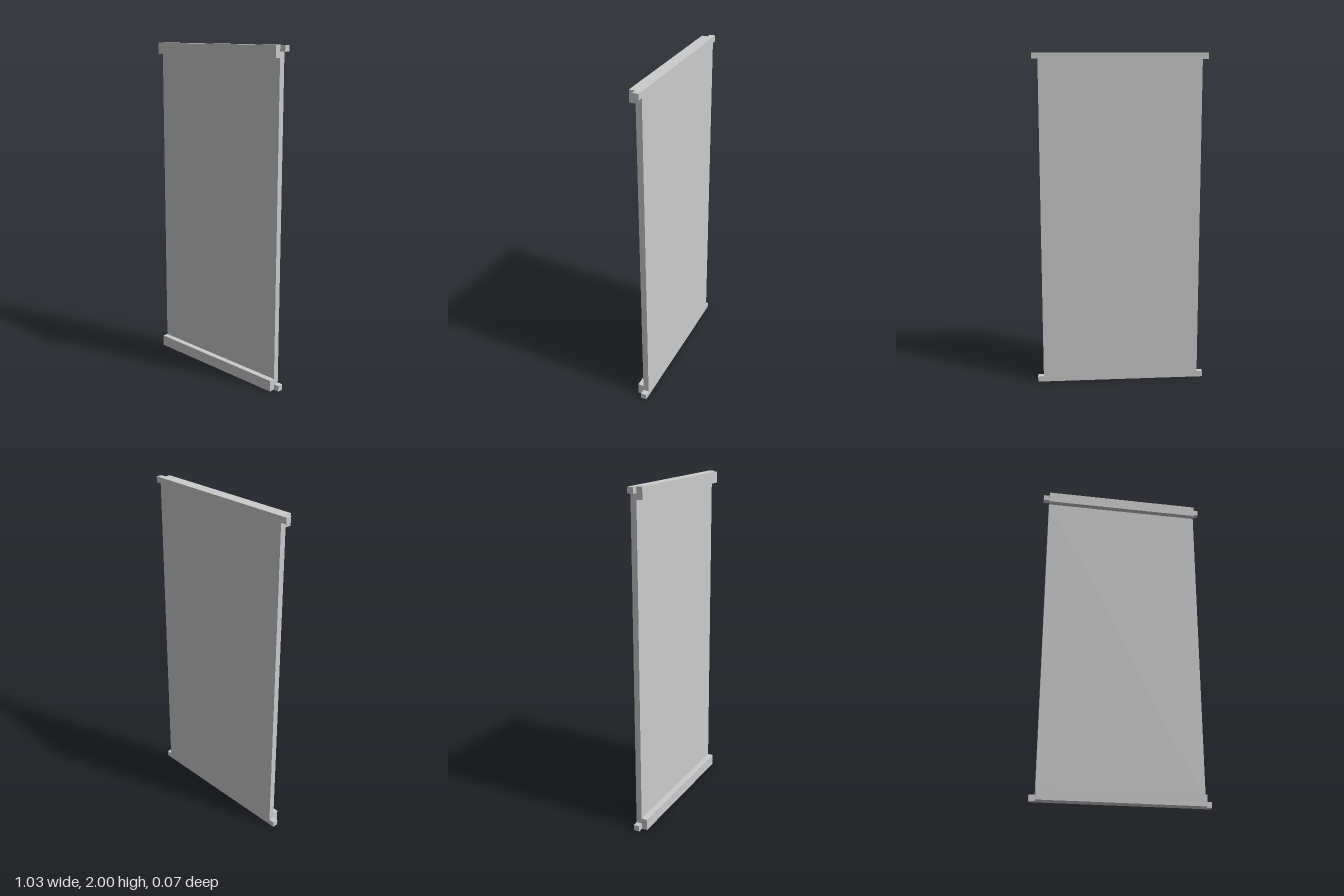
import * as THREE from 'three';

const HALF_W = 0.48;   // half width of the panel
const H = 2;           // overall height
const T = 0.035;       // thickness of panel, rails and tabs
const RAIL_H = 0.068;  // height of the front rails

export function createModel() {
  const group = new THREE.Group();
  const material = new THREE.MeshStandardMaterial({ color: 0xcccccc, flatShading: true });

  const add = (name, geometry) => {
    const mesh = new THREE.Mesh(geometry, material);
    mesh.name = name;
    group.add(mesh);
    return mesh;
  };

  // Flat panel with a square tab projecting sideways at each corner
  const a = HALF_W, b = HALF_W + T;
  const outline = [
    [-b, 0], [b, 0], [b, T], [a, T], [a, H - T], [b, H - T],
    [b, H], [-b, H], [-b, H - T], [-a, H - T], [-a, T], [-b, T],
  ].map(([x, y]) => new THREE.Vector2(x, y));
  const panel = new THREE.ExtrudeGeometry(new THREE.Shape(outline), { depth: T, bevelEnabled: false });
  add('panelWithCornerTabs', panel).position.z = -T;

  // Rails along the top and bottom of the front face
  for (const [name, y] of [['bottomRail', RAIL_H / 2], ['topRail', H - RAIL_H / 2]]) {
    add(name, new THREE.BoxGeometry(2 * HALF_W, RAIL_H, T)).position.set(0, y, T / 2);
  }

  return group;
}
